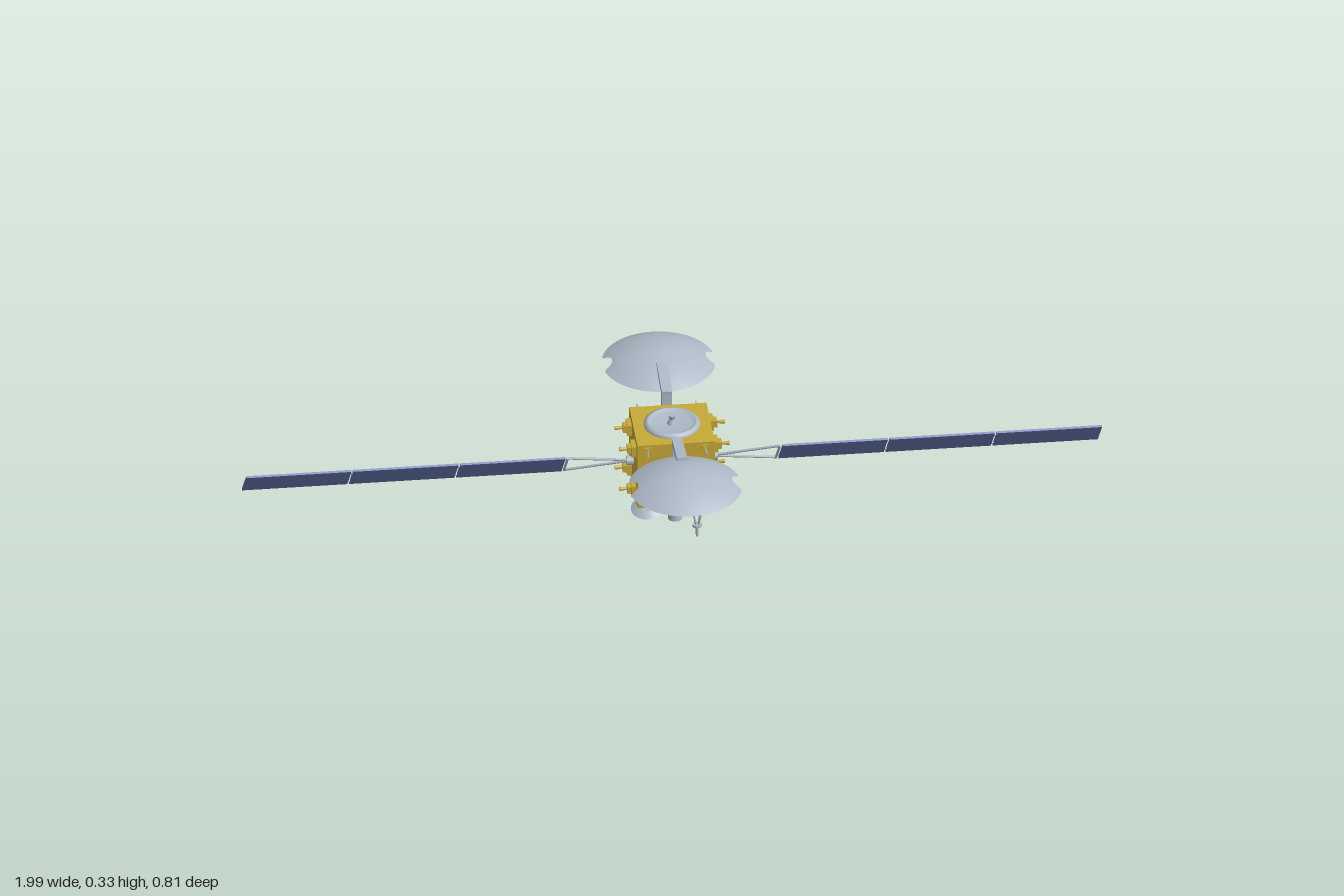
import * as THREE from 'three';

const material = (name, color, side = THREE.FrontSide) => {
  const m = new THREE.MeshStandardMaterial({ color, side });
  m.name = name;
  return m;
};

export function createModel() {
  const gold = material('gold foil', 0xc6a936);
  const grey = material('light grey', 0xaebac7, THREE.DoubleSide);
  const blue = material('solar blue', 0x677bb3);
  const root = new THREE.Group();
  root.name = 'satellite';

  const add = (name, geo, mat, x = 0, y = 0, z = 0, parent = root) => {
    const m = new THREE.Mesh(geo, mat);
    m.name = name;
    m.position.set(x, y, z);
    parent.add(m);
    return m;
  };
  const box = (name, mat, size, pos, parent) =>
    add(name, new THREE.BoxGeometry(...size), mat, ...pos, parent);
  const cyl = (name, mat, rTop, rBottom, h, pos, parent) =>
    add(name, new THREE.CylinderGeometry(rTop, rBottom, h, 24), mat, ...pos, parent);
  // Straight bar between two points: round, or a flat-sided beam when w is given
  const bar = (name, mat, a, b, r, parent, w) => {
    const p = new THREE.Vector3(...a), q = new THREE.Vector3(...b);
    const len = p.distanceTo(q);
    const geo = w ? new THREE.BoxGeometry(w, len, r * 2) : new THREE.CylinderGeometry(r, r, len, 8);
    const mid = p.clone().lerp(q, 0.5);
    const m = add(name, geo, mat, mid.x, mid.y, mid.z, parent);
    m.quaternion.setFromUnitVectors(new THREE.Vector3(0, 1, 0), q.sub(p).normalize());
    return m;
  };

  // Main body
  const ZC = -0.003;
  box('body', gold, [0.18, 0.17, 0.171], [0, 0.204, ZC]);

  // Top ring with shallow recess and central nozzle
  const ring = [[0, 0.292], [0.044, 0.292], [0.054, 0.299], [0.059, 0.299], [0.06, 0.296], [0.065, 0.295], [0.065, 0.288]]
    .map(p => new THREE.Vector2(...p)).reverse();
  add('topRing', new THREE.LatheGeometry(ring, 40), grey, 0, 0, ZC);
  cyl('topNozzle', grey, 0.009, 0.005, 0.016, [0, 0.307, ZC]);
  cyl('nozzleBase', grey, 0.007, 0.012, 0.012, [0, 0.297, ZC]);

  // Solar wings, tilted 45 degrees
  for (const s of [1, -1]) {
    const wing = new THREE.Group();
    wing.name = s > 0 ? 'leftWing' : 'rightWing';
    wing.position.set(0, 0.198, ZC);
    wing.rotation.x = -Math.PI / 4;
    root.add(wing);
    for (let i = 0; i < 3; i++) {
      box('solarPanel', blue, [0.245, 0.005, 0.124], [s * (0.3755 + i * 0.2495), 0, 0], wing);
      if (i) for (const z of [-0.04, 0.04])
        box('panelHinge', grey, [0.01, 0.004, 0.008], [s * (0.251 + i * 0.2495), 0, z], wing);
    }
    for (const z of [-1, 1])
      bar('yokeStrut', grey, [s * 0.1, 0, z * 0.004], [s * 0.247, 0, z * 0.058], 0.003, wing);
    bar('yokeCrossbar', grey, [s * 0.247, 0, -0.06], [s * 0.247, 0, 0.06], 0.003, wing);
    const hub = cyl('wingHub', grey, 0.011, 0.011, 0.018, [s * 0.097, 0, 0], wing);
    hub.rotation.z = Math.PI / 2;
  }

  // Side thrusters: stepped blocks with a small outward nozzle
  for (const s of [1, -1]) for (const z of [0.044, -0.05]) for (const y of [0.259, 0.151]) {
    box('thrusterBase', gold, [0.012, 0.027, 0.035], [s * 0.095, y, z]);
    box('thrusterBlock', gold, [0.01, 0.017, 0.021], [s * 0.105, y, z]);
    const n = cyl('thrusterNozzle', gold, 0.005, 0.003, 0.018, [s * 0.119, y, z]);
    n.rotation.z = -s * Math.PI / 2;
  }

  // Slim spikes on the front and back faces
  for (const s of [1, -1]) for (const x of [0.066, -0.066]) for (const y of [0.276, 0.133]) {
    const zf = ZC + s * 0.085;
    bar('spike', grey, [x, y + 0.005, zf], [x * 1.05, y - 0.001, zf + s * 0.032], 0.0015);
    bar('spike', grey, [x, y - 0.006, zf], [x * 1.05, y - 0.001, zf + s * 0.032], 0.0015);
    box('spikeFoot', gold, [0.016, 0.014, 0.006], [x, y, zf + s * 0.002]);
  }

  // Shallow reflector with a round notch in each side
  const dishGeometry = () => {
    const rings = 14, seg = 160, R = 0.132, H = 0.039, c = 0.136, n = 0.027;
    const geo = new THREE.CylinderGeometry(1, 1, 1, seg, rings, true);
    const p = geo.attributes.position;
    for (let i = 0; i < p.count; i++) {
      const a = (i % (seg + 1)) / seg * Math.PI * 2;
      const t = Math.floor(i / (seg + 1)) / rings;
      const k = n * n - (c * Math.sin(a)) ** 2;
      const edge = k > 0 ? Math.min(R, c * Math.abs(Math.cos(a)) - Math.sqrt(k)) : R;
      const r = Math.max(t, 0.001) * edge;
      p.setXYZ(i, r * Math.cos(a), H * (1 - (r / R) ** 2), -r * Math.sin(a));
    }
    geo.computeVertexNormals();
    return geo;
  };

  // Reflectors and their folding arms, front and back
  for (const s of [1, -1]) {
    const arm = new THREE.Group();
    arm.name = s > 0 ? 'frontReflector' : 'backReflector';
    arm.position.z = ZC;
    root.add(arm);
    box('armBracket', gold, [0.046, 0.033, 0.034], [0, 0.205, s * 0.101], arm);
    box('armPost', grey, [0.024, 0.11, 0.016], [0, 0.26, s * 0.11], arm);
    bar('armBeam', grey, [0, 0.307, s * 0.102], [0, 0.32, s * 0.21], 0.0075, arm, 0.024);
    add('reflector', dishGeometry(), grey, 0, 0.29, s * 0.274, arm);
  }

  // Equipment box below the body
  box('lowerBox', gold, [0.055, 0.062, 0.067], [0.056, 0.09, -0.03]);
  cyl('lowerHorn', grey, 0.01, 0.013, 0.016, [0.056, 0.053, -0.03]);
  box('sensorBox', gold, [0.03, 0.016, 0.026], [0.056, 0.088, -0.074]);

  // Tripod mast with a tip antenna
  for (let i = 0; i < 4; i++) {
    const a = i * Math.PI / 2 + Math.PI / 4;
    bar('mastLeg', grey, [0.055 + 0.026 * Math.cos(a), 0.12, 0.028 + 0.026 * Math.sin(a)],
      [0.055 + 0.004 * Math.cos(a), 0.03, 0.028 + 0.004 * Math.sin(a)], 0.002);
  }
  cyl('mastPlate', grey, 0.011, 0.011, 0.006, [0.055, 0.03, 0.028]);
  cyl('mastTip', grey, 0.004, 0.003, 0.03, [0.055, 0.015, 0.028]);

  // Front horn and its bracket
  cyl('frontHorn', grey, 0.013, 0.017, 0.046, [0, 0.098, 0.063]);
  box('hornBracket', gold, [0.022, 0.03, 0.018], [0.028, 0.105, 0.066]);

  // Small tilted dish under the body
  const small = new THREE.Group();
  small.name = 'smallDish';
  small.position.set(-0.06, 0.092, 0.025);
  small.rotation.set(0.2, 0, 0.1);
  root.add(small);
  const bowl = [[0.001, 0.006], [0.015, 0.004], [0.028, -0.002], [0.04, -0.01]].map(p => new THREE.Vector2(...p));
  add('bowl', new THREE.LatheGeometry(bowl, 32), grey, 0, 0, 0, small);
  cyl('bowlMount', grey, 0.007, 0.007, 0.03, [0, 0.018, 0], small);
  cyl('bowlFeed', grey, 0.003, 0.005, 0.018, [0, -0.006, 0], small);

  return root;
}
